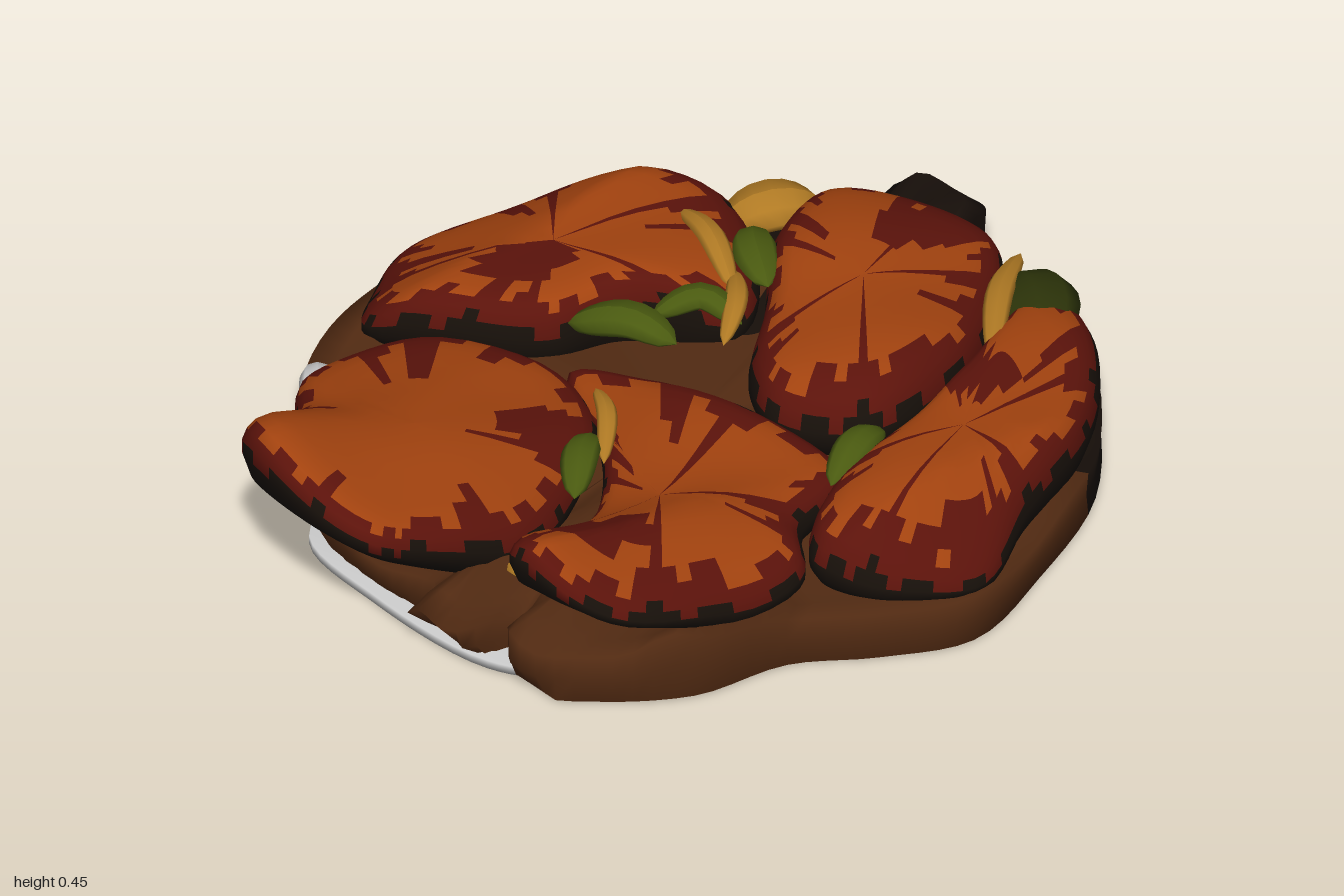
import * as THREE from 'three';

const mat = (color) => new THREE.MeshStandardMaterial({ color, side: THREE.DoubleSide });
const mats = {
  char: mat(0x17100a), red: mat(0x5c130b), glaze: mat(0xa3430f), sauce: mat(0x512a12), crust: mat(0x170f0a),
  under: mat(0x2c1507), green: mat(0x4a5a10), darkGreen: mat(0x2b3209), onion: mat(0xb07a24), plate: mat(0xcccccc),
};

// Closed smooth outline in plan, always turning from +x towards +z
function outline(points, n) {
  const v = points.map(([x, z]) => new THREE.Vector2(x, z));
  if (THREE.ShapeUtils.area(v) < 0) v.reverse();
  const c = new THREE.CatmullRomCurve3(v.map((p) => new THREE.Vector3(p.x, 0, p.y)), true, 'centripetal');
  return Array.from({ length: n }, (_, i) => c.getPoint(i / n));
}

// Solid skinned over rings that run from the bottom centre, round the rim, to the top centre.
// place(x, z, ring, i) gives each point, pick(x, z, ring, i) the material of each patch.
function ringSolid(name, points, n, rings, place, pick) {
  const edge = outline(points, n);
  const mid = edge.reduce((a, p) => a.add(p), new THREE.Vector3()).divideScalar(n);
  const pos = [], faces = {};
  const at = (r, i) => [mid.x + (edge[i].x - mid.x) * r.s, mid.z + (edge[i].z - mid.z) * r.s];
  rings.forEach((r, j) => {
    for (let i = 0; i < n; i++) {
      pos.push(...place(...at(r, i), r, i));
      if (j === rings.length - 1) continue;
      const k = (i + 1) % n, a = j * n + i, b = j * n + k;
      const list = (faces[pick(...at(r, i), r, i)] ??= []);
      if (r.s > 0) list.push(a, a + n, b);
      if (rings[j + 1].s > 0) list.push(b, a + n, b + n);
    }
  });
  const whole = new THREE.BufferGeometry();
  whole.setAttribute('position', new THREE.Float32BufferAttribute(pos, 3));
  whole.setIndex(Object.values(faces).flat());
  whole.computeVertexNormals();
  const group = new THREE.Group();
  group.name = name;
  for (const [key, idx] of Object.entries(faces)) {
    const g = new THREE.BufferGeometry();
    g.setAttribute('position', whole.attributes.position);
    g.setAttribute('normal', whole.attributes.normal);
    g.setIndex(idx);
    const m = new THREE.Mesh(g, mats[key]);
    m.name = `${name}_${key}`;
    group.add(m);
  }
  return group;
}

const ring = (s, h) => ({ s, h });
const bump = (x, z) => 0.009 * Math.sin(13 * x + 5 * z) + 0.007 * Math.sin(11 * z - 8 * x + 1);

// Glazed piece: h runs from the underside (0) to the top surface (1)
const pieceRings = [[0, 0], [0.5, 0], [0.84, 0.02], [0.95, 0.16], [1, 0.36], [1, 0.52], [0.97, 0.68], [0.92, 0.8],
  [0.84, 0.89], [0.74, 0.94], [0.6, 0.97], [0.45, 0.99], [0.3, 1], [0.15, 1], [0, 1]].map((p) => ring(...p));

function piece({ name, points, top, low }) {
  return ringSolid(name, points, 72, pieceRings,
    (x, z, r) => {
      const b = low(x, z), t = top(x, z);
      return [x, b + (t - b) * r.h + (r.h > 0.3 ? bump(x, z) : 0), z];
    },
    (x, z, r, i) => {
      const streak = r.h + 0.09 * Math.sin(i * 1.7) + 0.08 * Math.sin(i * 0.45 + 1) + Math.max(0, z - 0.5) * 0.3;
      if (streak < 0.55) return 'char';
      return streak < 0.86 || Math.sin(7 * x + 2) * Math.sin(6 * z + x * 3) > 0.8 ? 'red' : 'glaze';
    });
}

const pieces = [
  { name: 'frontRightPiece',
    points: [[-0.25, 0.12], [-0.05, 0.2], [0.1, 0.42], [0.16, 0.6], [0.1, 0.88], [0.05, 0.96], [-0.15, 1],
      [-0.34, 0.95], [-0.42, 0.74], [-0.58, 0.55], [-0.56, 0.27]],
    top: (x, z) => 0.25 + 0.25 * z * z - 0.24 * Math.max(0, x + 0.25) * z - 0.2 * Math.max(0, -0.3 - x),
    low: (x, z) => 0.11 + Math.max(0, z - 0.65) * 0.5 },
  { name: 'frontLeftPiece',
    points: [[-0.27, 0.08], [-0.1, 0], [0.15, -0.08], [0.42, -0.08], [0.5, 0.12], [0.61, 0.22], [0.61, 0.48],
      [0.55, 0.7], [0.42, 0.79], [0.32, 0.79], [0.26, 0.58], [0.13, 0.36], [-0.02, 0.22]],
    top: (x, z) => 0.25 + 0.33 * z * z - 0.7 * Math.abs(x - 0.39) * Math.max(0, z),
    low: (x, z) => 0.11 + Math.max(0, z - 0.4) * 0.4 },
  { name: 'rightPiece',
    points: [[-0.85, 0.01], [-0.81, -0.2], [-0.71, -0.39], [-0.48, -0.55], [-0.27, -0.46], [-0.13, -0.28],
      [-0.3, -0.1], [-0.35, 0.06], [-0.5, 0.2], [-0.69, 0.28], [-0.78, 0.17]],
    top: (x) => 0.28 - 0.55 * Math.max(0, -0.6 - x), low: () => 0.09 },
  { name: 'backPiece',
    points: [[-0.34, -0.72], [-0.2, -0.85], [0, -0.88], [0.15, -0.77], [0.34, -0.47], [0.36, -0.2], [0.2, -0.08],
      [0.05, -0.14], [-0.1, -0.32], [-0.28, -0.52]],
    top: (x, z) => 0.305 - 0.14 * (z + 0.15) ** 2, low: () => 0.1 },
  { name: 'leftPiece',
    points: [[0.22, -0.84], [0.43, -0.78], [0.65, -0.56], [0.75, -0.3], [0.84, -0.07], [0.73, 0.13], [0.6, 0.18],
      [0.48, 0.04], [0.41, -0.28], [0.33, -0.52]],
    top: (x, z) => 0.285 - 0.6 * Math.max(0, x - 0.66) - 0.1 * Math.max(0, -0.4 - z), low: () => 0.09 },
];

// Sauce bed: flat base, ragged rim with peaks at the front and a raised lip at the back
const bedPoints = [[-0.2, -1], [-0.14, -0.99], [-0.08, -0.9], [0.15, -0.87], [0.4, -0.8], [0.65, -0.58], [0.78, -0.3],
  [0.85, -0.05], [0.76, 0.14], [0.65, 0.3], [0.6, 0.52], [0.47, 0.69], [0.33, 0.8], [0.24, 0.68], [0.18, 0.86],
  [0.1, 0.88], [0.07, 0.76], [-0.1, 0.78], [-0.35, 0.72], [-0.57, 0.57], [-0.72, 0.42], [-0.8, 0.22], [-0.85, 0],
  [-0.8, -0.25], [-0.7, -0.42], [-0.46, -0.62], [-0.31, -0.75], [-0.27, -0.88]];
const peak = (d, w) => Math.exp(-((d / w) ** 2));
function rim(x, z) {
  let y = 0.105 + 0.012 * Math.sin(17 * x + 9 * z);
  if (z > 0.25) for (const px of [0.14, 0.32, 0.58]) y += 0.06 * peak(x - px, 0.045);
  return y + 0.1 * peak(x + 0.2, 0.16) * peak(z + 0.87, 0.08);
}
const bedRings = [[0, 0], [0.5, 0], [0.97, 0], [1, 0.03], [0.995, 0.5], [1, 1], [0.93, 1.1], [0.8, 1.2], [0.4, 1.25], [0, 1.25]];

function sauceBed() {
  return ringSolid('sauceBed', bedPoints, 140, bedRings.map((p) => ring(...p)),
    (x, z, r) => {
      const limit = 0.74 + 0.14 * Math.min(1, r.h);
      return [x, rim(x, z) * r.h, Math.min(z, limit)];
    },
    (x, z, r) => (r.h === 0 ? 'under' : z < -0.55 ? 'crust' : 'sauce'));
}

// Bent, flattened strip of vegetable
function strip(name, key, from, via, to, r, flat = 0.55) {
  const curve = new THREE.CatmullRomCurve3([from, via, to].map((p) => new THREE.Vector3(...p)));
  const g = new THREE.TubeGeometry(curve, 10, r, 8);
  const p = g.attributes.position;
  // Taper both ends to a point and squash the section
  for (let i = 0; i < p.count; i++) {
    const t = Math.floor(i / 9) / 10, c = curve.getPointAt(t), k = Math.sqrt(Math.sin(Math.PI * t) + 1e-4);
    p.setXYZ(i, c.x + (p.getX(i) - c.x) * k, c.y + (p.getY(i) - c.y) * k * flat, c.z + (p.getZ(i) - c.z) * k);
  }
  g.computeVertexNormals();
  const m = new THREE.Mesh(g, mats[key]);
  m.name = name;
  return m;
}

export function createModel() {
  const model = new THREE.Group();
  model.name = 'glazedDish';
  model.add(sauceBed());
  pieces.forEach((p) => model.add(piece(p)));

  // Pepper and onion strips tucked between the pieces
  const veg = [
    ['green', [-0.33, 0.21, -0.5], [-0.24, 0.25, -0.42], [-0.12, 0.25, -0.35], 0.05],
    ['green', [-0.34, 0.22, 0.02], [-0.22, 0.26, -0.05], [-0.11, 0.24, -0.08], 0.055],
    ['green', [-0.21, 0.25, -0.1], [-0.16, 0.28, -0.2], [-0.06, 0.25, -0.22], 0.04],
    ['green', [0.4, 0.23, -0.2], [0.43, 0.27, -0.1], [0.48, 0.24, 0.02], 0.04],
    ['green', [0, 0.23, 0.26], [0.06, 0.26, 0.35], [0.14, 0.23, 0.44], 0.04],
    ['darkGreen', [0.15, 0.18, -0.8], [0.26, 0.21, -0.77], [0.35, 0.18, -0.7], 0.09],
    ['onion', [0.11, 0.21, -0.86], [0.22, 0.25, -0.7], [0.38, 0.24, -0.53], 0.03],
    ['onion', [-0.45, 0.25, -0.4], [-0.3, 0.29, -0.35], [-0.15, 0.26, -0.28], 0.03],
    ['onion', [-0.2, 0.26, -0.33], [-0.1, 0.28, -0.24], [-0.03, 0.25, -0.14], 0.025],
    ['onion', [-0.1, 0.25, 0.16], [0, 0.27, 0.22], [0.1, 0.24, 0.32], 0.022],
    ['onion', [0.12, 0.15, 0.62], [0.21, 0.18, 0.64], [0.3, 0.16, 0.62], 0.03],
    ['onion', [-0.43, 0.16, -0.5], [-0.38, 0.2, -0.6], [-0.33, 0.16, -0.7], 0.075],
  ];
  veg.forEach(([key, a, b, c, r], i) => model.add(strip(`${key}Strip${i + 1}`, key, a, b, c, r)));

  // Slivers of plate showing at the front edge
  const plate = ringSolid('plateSliver', [[-0.4, 0.5], [0.45, 0.5], [0.36, 0.68], [0.23, 0.77], [-0.1, 0.79], [-0.36, 0.74]], 40,
    [ring(0, 0), ring(1, 0), ring(1, 0.02), ring(0, 0.02)], (x, z, r) => [x, r.h, z], () => 'plate');
  const shine = strip('plateEdge', 'plate', [-0.73, 0.08, 0.38], [-0.66, 0.1, 0.44], [-0.6, 0.08, 0.51], 0.04);
  model.add(plate, shine);
  return model;
}
